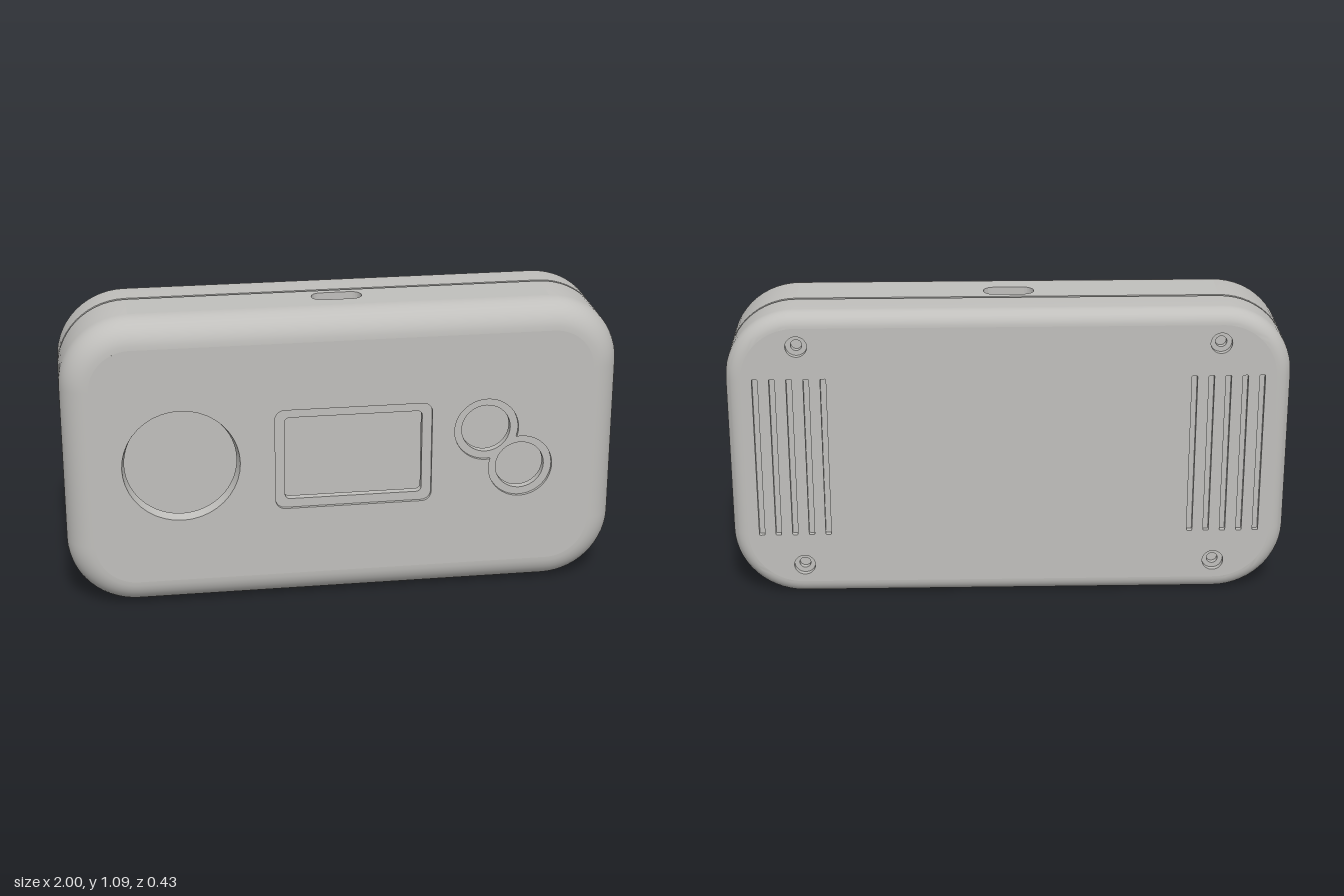
import * as THREE from 'three';
import { toCreasedNormals } from 'three/addons/utils/BufferGeometryUtils.js';

const W = 1, H = 0.545, R = 0.25, CY = 0.545; // half width, half height, corner radius, centre height
const WALL = 0.045, FRONT = 0.215, BACK = -0.215;
const PANEL = [-0.045, 0.115]; // z span of the straight edge panels that carry the ports

// rounded rectangle path, works for shapes and holes
function roundRect(Type, cx, cy, hw, hh, r) {
  const p = new Type();
  p.absarc(cx + hw - r, cy + hh - r, r, 0, Math.PI / 2);
  p.absarc(cx - hw + r, cy + hh - r, r, Math.PI / 2, Math.PI);
  p.absarc(cx - hw + r, cy - hh + r, r, Math.PI, Math.PI * 1.5);
  p.absarc(cx + hw - r, cy - hh + r, r, Math.PI * 1.5, Math.PI * 2);
  p.closePath();
  return p;
}

function circle(cx, cy, r) {
  const p = new THREE.Path();
  p.absarc(cx, cy, r, 0, Math.PI * 2);
  return p;
}

// flat slab with holes, between two z values
function slab(shape, holes, z0, z1) {
  shape.holes.push(...holes);
  const g = new THREE.ExtrudeGeometry(shape, { depth: z1 - z0, bevelEnabled: false, curveSegments: 20 });
  return toCreasedNormals(g.translate(0, 0, z0), 0.5);
}

// skin through rounded-rectangle rings given as [inset, z]; leaves the port panels open
function loft(profile) {
  const n = 14, size = 4 * (n + 1), pos = [], idx = [];
  for (const [d, z] of profile) {
    for (let q = 0; q < 4; q++) {
      const sx = q === 0 || q === 3 ? 1 : -1, sy = q < 2 ? 1 : -1;
      for (let j = 0; j <= n; j++) {
        const a = (q + j / n) * Math.PI / 2;
        pos.push(sx * (W - R) + (R - d) * Math.cos(a), CY + sy * (H - R) + (R - d) * Math.sin(a), z);
      }
    }
  }
  for (let k = 0; k < profile.length - 1; k++) {
    const mid = (profile[k][1] + profile[k + 1][1]) / 2;
    const open = Math.abs(mid - (PANEL[0] + PANEL[1]) / 2) < 0.01;
    for (let i = 0; i < size; i++) {
      if (open && (i === n || i === 3 * n + 2)) continue;
      const a = k * size + i, b = k * size + (i + 1) % size, c = a + size, d = b + size;
      idx.push(a, c, b, b, c, d);
    }
  }
  const g = new THREE.BufferGeometry();
  g.setAttribute('position', new THREE.Float32BufferAttribute(pos, 3));
  g.setIndex(idx);
  return toCreasedNormals(g, 0.5);
}

// quarter-round [inset, z] points from the flat face (t = 0) to the side (t = 1)
function fillet(r, face, dir) {
  return Array.from({ length: 11 }, (_, i) => {
    const a = (i / 10) * Math.PI / 2;
    return [r - r * Math.sin(a), face - dir * (r - r * Math.cos(a))];
  });
}

export function createModel() {
  const model = new THREE.Group();
  const grey = new THREE.MeshStandardMaterial({ color: 0xc0bfbc });
  grey.name = 'warm grey plastic';
  const add = (name, geometry) => {
    const m = new THREE.Mesh(geometry, grey);
    m.name = name;
    model.add(m);
    return m;
  };

  // outer skin: large front fillet, seam groove, small back fillet
  const rf = 0.1, rb = 0.055;
  add('outerShell', loft([
    ...fillet(rf, FRONT, 1),
    [0, PANEL[0]], [0.01, PANEL[0]], [0.01, -0.057], [0, -0.057],
    ...fillet(rb, BACK, -1).reverse(),
  ]));
  // hollow inside
  add('innerShell', loft([
    [rb, -0.175], [WALL, -0.175], [WALL, PANEL[0]], [WALL, PANEL[1]], [WALL, 0.175], [rf, 0.175],
  ]));

  // front face: round opening, screen window and the two joined button openings
  const eye = [-0.585, 0.547], b1 = [0.515, 0.625], b2 = [0.643, 0.475], br = 0.117;
  const th = Math.atan2(b2[1] - b1[1], b2[0] - b1[0]);
  const al = Math.acos(Math.hypot(b2[0] - b1[0], b2[1] - b1[1]) / 2 / br);
  const pair = new THREE.Path();
  pair.absarc(...b1, br, th + al, th - al + Math.PI * 2);
  pair.absarc(...b2, br, th + Math.PI + al, th - al + Math.PI * 3);
  const face = (r) => roundRect(THREE.Shape, 0, CY, W - r, H - r, R - r);
  add('frontFace', slab(face(rf), [
    circle(...eye, 0.21), roundRect(THREE.Path, 0.033, 0.549, 0.283, 0.19, 0.035), pair,
  ], 0.203, FRONT));
  add('frontLedges', slab(face(rf), [
    circle(...eye, 0.21), roundRect(THREE.Path, 0.033, 0.549, 0.248, 0.157, 0.018),
    circle(...b1, 0.089), circle(...b2, 0.089),
  ], 0.175, 0.203));

  // tapered rim of the round opening
  const rim = new THREE.LatheGeometry([
    new THREE.Vector2(0.21, 0.175), new THREE.Vector2(0.2, 0.175), new THREE.Vector2(0.21, FRONT),
  ].reverse(), 64);
  rim.rotateX(Math.PI / 2);
  const rimMesh = add('roundOpeningRim', toCreasedNormals(rim, 0.5));
  rimMesh.position.set(eye[0], eye[1], 0);
  rimMesh.material = grey.clone();
  rimMesh.material.side = THREE.DoubleSide;

  // back face: vent slots and screw recesses
  const slots = [], heads = [], bores = [];
  for (const s of [-1, 1]) {
    for (let k = 0; k < 5; k++) slots.push(roundRect(THREE.Path, s * (0.655 + 0.06 * k), CY, 0.01, 0.302, 0.004));
    for (const y of [0.122, 0.968]) {
      heads.push(circle(s * 0.745, y, 0.038));
      bores.push(circle(s * 0.745, y, 0.02));
      // post inside the case behind each screw
      const post = new THREE.CylinderGeometry(0.07, 0.07, 0.085, 32).rotateX(Math.PI / 2);
      add('screwPost', post).position.set(s * 0.745, y, -0.1325);
    }
  }
  add('backFace', slab(face(rb), [...slots, ...heads], BACK, -0.195));
  add('backFloor', slab(face(rb), bores, -0.195, -0.175));

  // straight edge panels with the ports (panel shape is drawn in x and -z)
  const panel = () => {
    const [z0, z1] = PANEL, x = W - R;
    return new THREE.Shape([[-x, -z1], [x, -z1], [x, -z0], [-x, -z0]].map((p) => new THREE.Vector2(...p)));
  };
  const edge = (name, hole, y0, y1) => add(name, slab(panel(), [hole], y0, y1).rotateX(-Math.PI / 2));
  edge('topSlotPanel', roundRect(THREE.Path, -0.003, -0.018, 0.09, 0.038, 0.0375), 2 * H - WALL, 2 * H);
  edge('bottomPortRecess', roundRect(THREE.Path, 0.21, -0.045, 0.11, 0.05, 0.004), 0, 0.015);
  edge('bottomPortPanel', roundRect(THREE.Path, 0.21, -0.045, 0.085, 0.028, 0.004), 0.015, WALL);

  return model;
}
